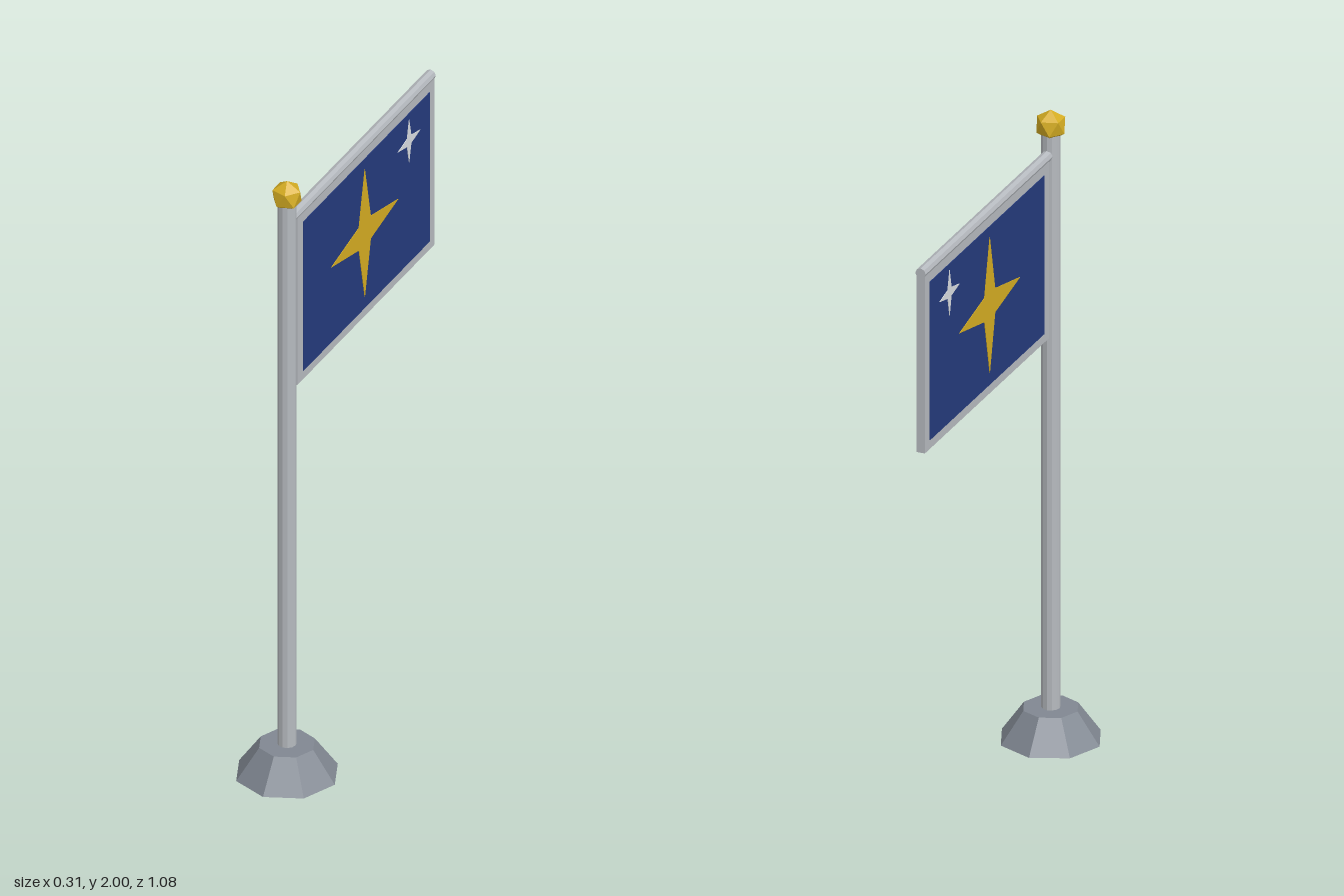
import * as THREE from 'three';

const mat = (name, color, flatShading = true) => {
  const m = new THREE.MeshStandardMaterial({ color, flatShading });
  m.name = name;
  return m;
};

export function createModel() {
  const root = new THREE.Group();
  root.name = 'flagpole';
  const steel = mat('light steel', 0xb6babf);
  const stone = mat('base grey', 0x808791);
  const gold = mat('gold', 0xd4ac22);
  const blue = mat('banner blue', 0x253a7c);
  const silver = mat('silver white', 0xd8dce0);

  const add = (name, geometry, material, x, y, z, parent = root) => {
    const mesh = new THREE.Mesh(geometry, material);
    mesh.name = name;
    mesh.position.set(x, y, z);
    parent.add(mesh);
    return mesh;
  };
  const poleZ = 0.387;

  // Octagonal foot and upright pole
  add('base', new THREE.CylinderGeometry(0.085, 0.155, 0.099, 8), stone, 0, 0.0505, poleZ);
  add('pole', new THREE.CylinderGeometry(0.028, 0.028, 1.93, 12), steel, 0, 0.965, poleZ);

  // Faceted ball standing on one corner
  const ball = new THREE.IcosahedronGeometry(0.048, 0);
  ball.rotateZ(-Math.atan(2 / (1 + Math.sqrt(5))));
  add('finial', ball, gold, 0, 1.952, poleZ);

  // Horizontal bar carrying the banner
  const barEnd = -0.54;
  const bar = new THREE.CylinderGeometry(0.0165, 0.0165, poleZ - barEnd, 8);
  bar.rotateX(Math.PI / 2);
  add('crossbar', bar, steel, 0, 1.863, (poleZ + barEnd) / 2);

  // Banner: border slab with a slightly thicker cloth panel
  const banner = new THREE.Group();
  banner.name = 'banner';
  root.add(banner);
  add('border', new THREE.BoxGeometry(0.026, 0.565, 0.884), steel, 0, 1.5745, -0.096, banner);
  add('cloth', new THREE.BoxGeometry(0.03, 0.504, 0.815), blue, 0, 1.573, -0.0975, banner);

  // Four-pointed stars on both faces of the banner
  const starPlate = (outer, inner) => {
    const points = [];
    for (let i = 0; i < 8; i++) {
      const r = i % 2 ? inner : outer;
      const a = (i * Math.PI) / 4;
      points.push(new THREE.Vector2(r * Math.cos(a), r * Math.sin(a)));
    }
    const g = new THREE.ExtrudeGeometry(new THREE.Shape(points), { depth: 0.003, bevelEnabled: false });
    g.translate(0, 0, 0.0138);
    return g.rotateY(Math.PI / 2);
  };
  for (const side of [0, Math.PI]) {
    add('largeStar', starPlate(0.216, 0.054), gold, 0, 1.576, -0.083, banner).rotation.y = side;
    add('smallStar', starPlate(0.072, 0.019), silver, 0, 1.734, -0.369, banner).rotation.y = side;
  }
  return root;
}
